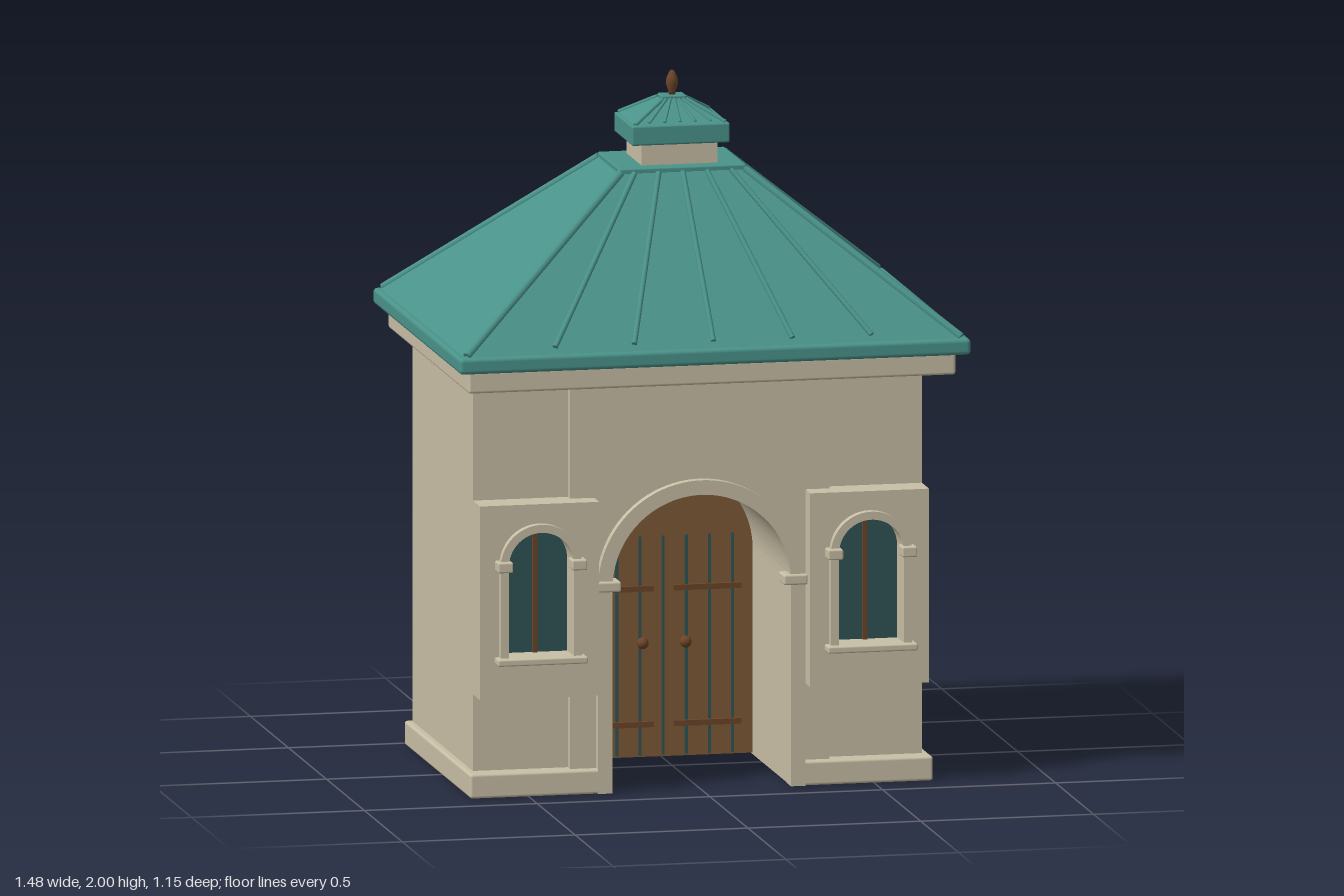
import * as THREE from 'three';
import { RoundedBoxGeometry } from 'three/addons/geometries/RoundedBoxGeometry.js';

const mat = (name, color) => {
  const m = new THREE.MeshStandardMaterial({ color });
  m.name = name;
  return m;
};

export function createModel() {
  const stone = mat('stone', 0xc9bfa6);
  const teal = mat('teal roof', 0x4a938a);
  const wood = mat('door wood', 0x7d5936);
  const darkWood = mat('dark wood', 0x6b4528);
  const glass = mat('dark glass', 0x2f5254);

  const model = new THREE.Group();
  model.name = 'gatehouse';

  const add = (parent, name, geo, material, x = 0, y = 0, z = 0) => {
    const mesh = new THREE.Mesh(geo, material);
    mesh.name = name;
    mesh.position.set(x, y, z);
    parent.add(mesh);
    return mesh;
  };
  // Box given by its limits, optionally with softened edges
  const box = (parent, name, material, [x0, x1], [y0, y1], [z0, z1], r = 0) => {
    const s = [x1 - x0, y1 - y0, z1 - z0];
    const geo = r ? new RoundedBoxGeometry(...s, 2, r) : new THREE.BoxGeometry(...s);
    return add(parent, name, geo, material, (x0 + x1) / 2, (y0 + y1) / 2, (z0 + z1) / 2);
  };
  const extrude = (parent, name, material, shape, z0, z1) => add(parent, name,
    new THREE.ExtrudeGeometry(shape, { depth: z1 - z0, bevelEnabled: false, curveSegments: 24 }),
    material, 0, 0, z0);
  // Round-headed opening of half width r, from y0 to the spring line
  const arch = (r, y0, spring, Type = THREE.Shape) => {
    const s = new Type();
    s.moveTo(-r, y0);
    s.lineTo(r, y0);
    s.lineTo(r, spring);
    s.absarc(0, spring, r, 0, Math.PI, false);
    s.lineTo(-r, y0);
    return s;
  };
  // Upright panel with an arched notch open at the ground
  const notched = (w, h, r, spring) => {
    const s = new THREE.Shape();
    s.moveTo(-w, 0);
    s.lineTo(-w, h);
    s.lineTo(w, h);
    s.lineTo(w, 0);
    s.lineTo(r, 0);
    s.lineTo(r, spring);
    s.absarc(0, spring, r, 0, Math.PI, false);
    s.lineTo(-r, 0);
    return s;
  };
  // Arched band with straight legs
  const archBand = (ro, ri, y0, spring) => {
    const s = new THREE.Shape();
    s.moveTo(ro, y0);
    s.lineTo(ro, spring);
    s.absarc(0, spring, ro, 0, Math.PI, false);
    s.lineTo(-ro, y0);
    s.lineTo(-ri, y0);
    s.lineTo(-ri, spring);
    s.absarc(0, spring, ri, Math.PI, 0, true);
    s.lineTo(ri, y0);
    return s;
  };
  // Hipped block: a box whose top corners are pulled in
  const hip = (parent, name, material, [bx, bz], [tx, tz], y0, y1) => {
    const geo = new THREE.BoxGeometry(2, y1 - y0, 2);
    const p = geo.attributes.position;
    for (let i = 0; i < p.count; i++) {
      const top = p.getY(i) > 0;
      p.setX(i, p.getX(i) * (top ? tx : bx));
      p.setZ(i, p.getZ(i) * (top ? tz : bz));
    }
    geo.computeVertexNormals();
    return add(parent, name, geo, material, 0, (y0 + y1) / 2, 0);
  };
  const rod = (parent, name, material, a, b, r) => {
    const va = new THREE.Vector3(...a), vb = new THREE.Vector3(...b);
    const d = vb.clone().sub(va);
    const m = add(parent, name, new THREE.CylinderGeometry(r, r, d.length(), 8), material);
    m.position.copy(va).add(vb).multiplyScalar(0.5);
    m.quaternion.setFromUnitVectors(new THREE.Vector3(0, 1, 0), d.normalize());
    return m;
  };

  // Walls, with a deep arched passage
  const walls = new THREE.Group();
  walls.name = 'walls';
  model.add(walls);
  extrude(walls, 'wallBody', stone, notched(0.65, 1.2, 0.26, 0.59), -0.43, 0.335);
  box(walls, 'backWall', stone, [-0.65, 0.65], [0, 1.2], [-0.46, -0.43]);
  extrude(walls, 'centreBay', stone, notched(0.375, 1.2, 0.26, 0.59), 0.335, 0.365);
  box(walls, 'cornice', stone, [-0.705, 0.705], [1.19, 1.253], [-0.53, 0.53], 0.008);
  extrude(walls, 'portalTrim', stone, archBand(0.3, 0.258, 0, 0.59), 0.335, 0.392);
  for (const s of [-1, 1]) {
    const cap = box(walls, 'portalCapital', stone, [0.235, 0.305], [0.58, 0.61], [0.335, 0.405], 0.006);
    cap.position.x *= s;
    const plinth = box(walls, 'plinth', stone, [0.285, 0.67], [0, 0.07], [-0.476, 0.392], 0.008);
    plinth.position.x *= s;
  }

  // Recessed double door
  const door = new THREE.Group();
  door.name = 'door';
  door.position.z = -0.12;
  model.add(door);
  extrude(door, 'doorLeaves', wood, arch(0.26, 0.005, 0.59), -0.03, 0);
  for (let i = -3; i <= 3; i++) {
    const x = i * 0.067;
    box(door, 'plankSeam', glass, [x - 0.004, x + 0.004], [0.01, 0.64], [0, 0.005]);
  }
  for (const s of [-1, 1]) {
    for (const y of [0.1, 0.49]) {
      box(door, 'hingeStrap', darkWood, [s * 0.127 - 0.098, s * 0.127 + 0.098], [y - 0.008, y + 0.008], [0, 0.014]);
    }
    add(door, 'knob', new THREE.SphereGeometry(0.017, 16, 12), darkWood, s * 0.062, 0.335, 0.018);
  }

  // Projecting window bays
  for (const s of [-1, 1]) {
    const bay = new THREE.Group();
    bay.name = s > 0 ? 'leftWindowBay' : 'rightWindowBay';
    bay.position.x = s * 0.4775;
    model.add(bay);
    const panel = new THREE.Shape();
    panel.moveTo(-0.172, 0.29);
    panel.lineTo(0.172, 0.29);
    panel.lineTo(0.172, 0.847);
    panel.lineTo(-0.172, 0.847);
    panel.closePath();
    panel.holes.push(arch(0.095, 0.41, 0.675, THREE.Path));
    extrude(bay, 'bayBlock', stone, panel, 0.335, 0.43);
    extrude(bay, 'windowTrim', stone, archBand(0.117, 0.094, 0.41, 0.675), 0.42, 0.455);
    extrude(bay, 'windowGlass', glass, arch(0.096, 0.405, 0.675), 0.352, 0.36);
    box(bay, 'mullion', darkWood, [-0.007, 0.007], [0.41, 0.77], [0.355, 0.372]);
    box(bay, 'sill', stone, [-0.13, 0.13], [0.392, 0.412], [0.42, 0.478], 0.005);
    for (const t of [-1, 1]) {
      box(bay, 'windowCapital', stone, [t * 0.107 - 0.022, t * 0.107 + 0.022], [0.66, 0.69], [0.42, 0.474], 0.005);
    }
  }

  // Ribs on a hipped roof: four hips, and five ribs each on front and back
  const ribs = (parent, hipA, hipB, low, high, lowX, highX, rHip, rRib) => {
    for (const sz of [-1, 1]) {
      for (const sx of [-1, 1]) {
        rod(parent, 'hipRidge', teal, [sx * hipA[0], hipA[1], sz * hipA[2]], [sx * hipB[0], hipB[1], sz * hipB[2]], rHip);
      }
      for (let i = -2; i <= 2; i++) {
        rod(parent, 'roofRib', teal, [i * lowX, low[0], sz * low[1]], [i * highX, high[0], sz * high[1]], rRib);
      }
    }
  };

  // Main roof
  const roof = new THREE.Group();
  roof.name = 'roof';
  model.add(roof);
  box(roof, 'eaves', teal, [-0.74, 0.74], [1.253, 1.3], [-0.575, 0.575], 0.012);
  hip(roof, 'roofSlopes', teal, [0.728, 0.563], [0.18, 0.14], 1.295, 1.735);
  ribs(roof, [0.715, 1.303, 0.553], [0.18, 1.733, 0.14], [1.318, 0.545], [1.733, 0.144], 0.229, 0.07, 0.012, 0.008);
  box(roof, 'roofCap', teal, [-0.184, 0.184], [1.728, 1.746], [-0.143, 0.143], 0.005);

  // Cupola and finial
  const cupola = new THREE.Group();
  cupola.name = 'cupola';
  model.add(cupola);
  box(cupola, 'neck', stone, [-0.11, 0.11], [1.74, 1.815], [-0.098, 0.098]);
  box(cupola, 'cupolaEaves', teal, [-0.142, 0.142], [1.806, 1.863], [-0.12, 0.12], 0.006);
  hip(cupola, 'cupolaSlopes', teal, [0.138, 0.116], [0.035, 0.03], 1.86, 1.92);
  ribs(cupola, [0.13, 1.865, 0.109], [0.035, 1.92, 0.03], [1.867, 0.105], [1.92, 0.03], 0.045, 0.012, 0.006, 0.005);
  box(cupola, 'cupolaCap', teal, [-0.036, 0.036], [1.915, 1.93], [-0.03, 0.03], 0.004);
  const profile = [[0, 0], [0.01, 0], [0.01, 0.008], [0.018, 0.03], [0.016, 0.048], [0.007, 0.066], [0, 0.07]]
    .map(([r, y]) => new THREE.Vector2(r, y));
  add(cupola, 'finial', new THREE.LatheGeometry(profile, 16), darkWood, 0, 1.93, 0);

  return model;
}
